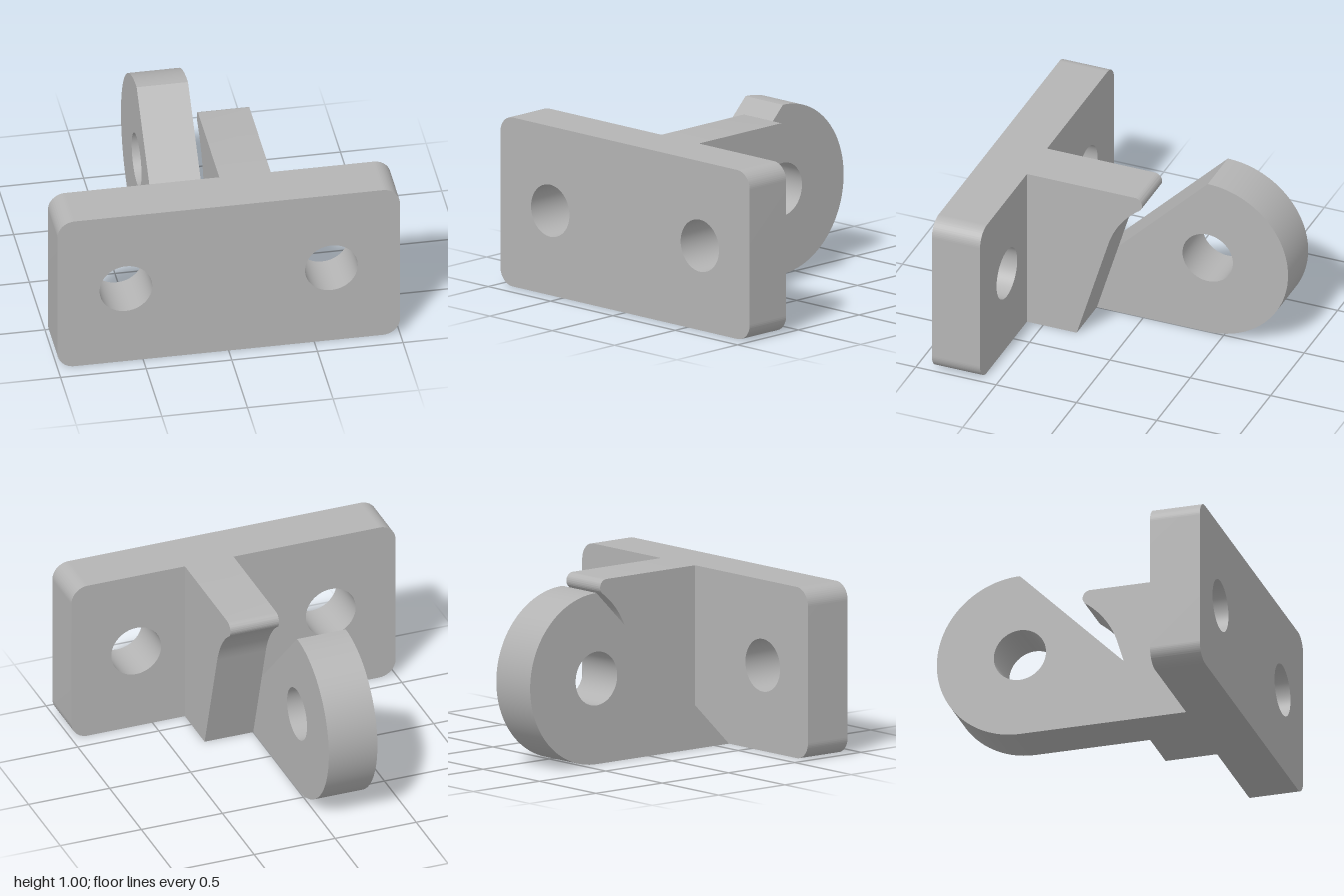
import * as THREE from 'three';
import { toCreasedNormals } from 'three/addons/utils/BufferGeometryUtils.js';

const HOLE_Z = -0.4, MID_Y = 0.5, THICK = 0.3;

function addHole(shape, x, y, r) {
  const hole = new THREE.Path();
  hole.absarc(x, y, r, 0, Math.PI * 2, true);
  shape.holes.push(hole);
}

function extrude(shape) {
  return new THREE.ExtrudeGeometry(shape, { depth: THICK, bevelEnabled: false, curveSegments: 32 });
}

// Mounting plate outline with rounded corners and two bolt holes
function plateShape() {
  const r = 0.1, s = new THREE.Shape();
  s.absarc(1 - r, r, r, -Math.PI / 2, 0);
  s.absarc(1 - r, 1 - r, r, 0, Math.PI / 2);
  s.absarc(r - 1, 1 - r, r, Math.PI / 2, Math.PI);
  s.absarc(r - 1, r, r, Math.PI, Math.PI * 1.5);
  s.closePath();
  for (const side of [-1, 1]) addHole(s, side * 0.6, MID_Y, 0.154);
  return s;
}

// Side profile (z, y) of the round-ended lug
function lugShape() {
  const s = new THREE.Shape();
  s.moveTo(0.6, 1);
  s.absarc(HOLE_Z, MID_Y, 0.5, Math.PI / 2, Math.PI * 1.5);
  s.lineTo(0.6, 0);
  s.closePath();
  addHole(s, HOLE_Z, MID_Y, 0.157);
  return s;
}

// Side profile (z, y) of the stop: sloped edge, arc about the lug hole, rounded tip
function stopShape() {
  const R = 0.515, tip = 0.046, a0 = 0.295, a1 = THREE.MathUtils.degToRad(54);
  const s = new THREE.Shape();
  s.moveTo(0.6, 0);
  s.lineTo(0.29, 0);
  s.absarc(HOLE_Z, MID_Y, R, a0, a1);
  s.absarc(HOLE_Z + (R + tip) * Math.cos(a1), MID_Y + (R + tip) * Math.sin(a1), tip,
    a1 + Math.PI, Math.PI / 2, true);
  s.lineTo(0.6, 1);
  s.closePath();
  return s;
}

export function createModel() {
  const grey = new THREE.MeshStandardMaterial({ color: 0xb4b4b4 });
  grey.name = 'plain grey';
  const group = new THREE.Group();
  group.name = 'hingeBracket';

  const add = (name, geometry) => {
    const mesh = new THREE.Mesh(toCreasedNormals(geometry, 0.5), grey);
    mesh.name = name;
    group.add(mesh);
  };

  add('mountingPlate', extrude(plateShape()).translate(0, 0, 0.6));
  // Side profiles are turned so their first axis runs along z
  add('lug', extrude(lugShape()).rotateY(-Math.PI / 2));
  add('stop', extrude(stopShape()).rotateY(-Math.PI / 2).translate(THICK, 0, 0));
  return group;
}
